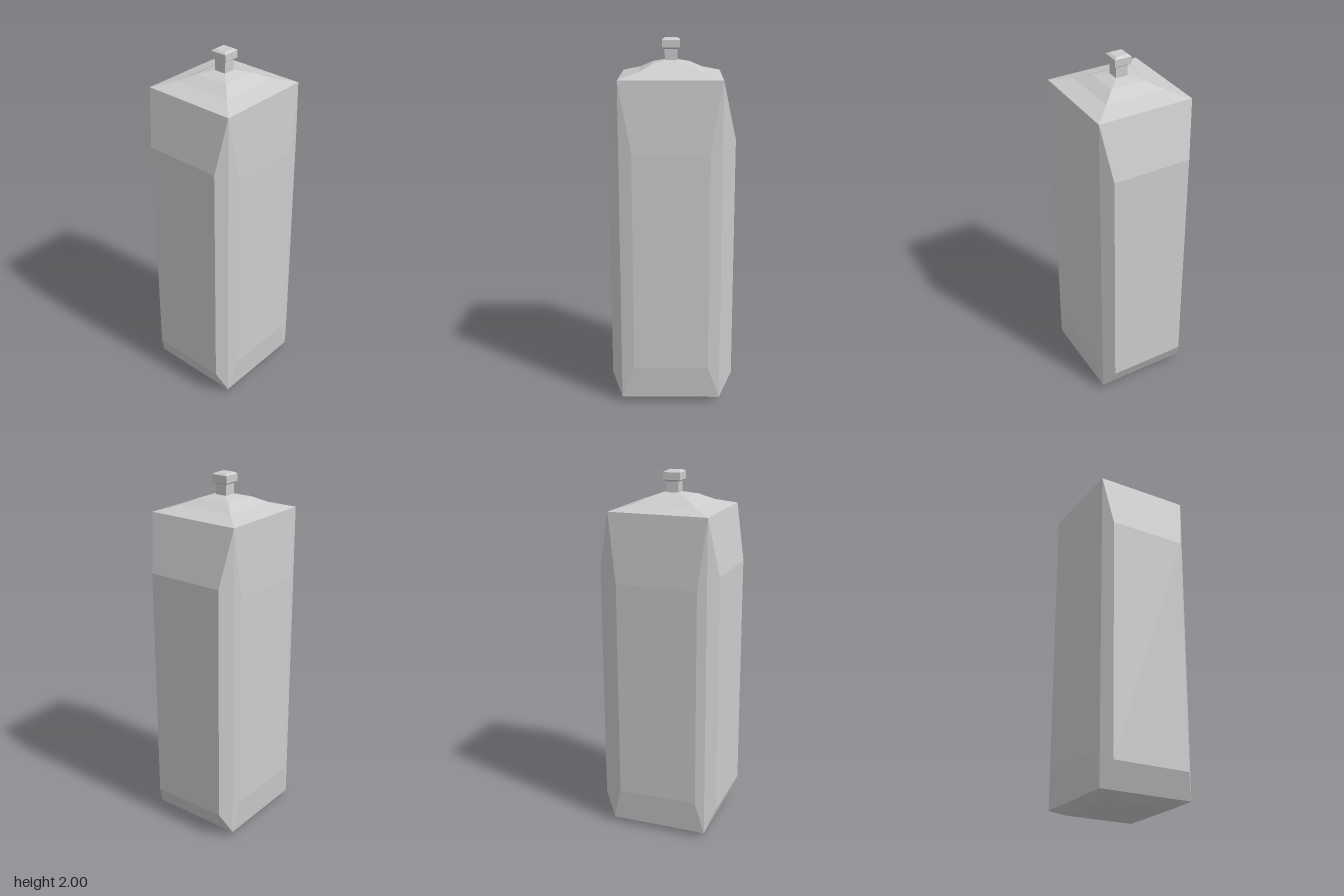
import * as THREE from 'three';

// Flat-shaded skin through a list of four-cornered loops; each quad faces outward
function skin(name, loops, material, { capFirst = false, capLast = false } = {}) {
  const pos = [];
  const quad = (a, b, c, d) => [a, b, c, a, c, d].forEach((p) => pos.push(...p));
  for (let k = 0; k + 1 < loops.length; k++) {
    const a = loops[k], b = loops[k + 1];
    for (let i = 0; i < 4; i++) {
      const j = (i + 1) % 4;
      quad(a[i], a[j], b[j], b[i]);
    }
  }
  if (capFirst) quad(...[...loops[0]].reverse());
  if (capLast) quad(...loops[loops.length - 1]);
  const geometry = new THREE.BufferGeometry();
  geometry.setAttribute('position', new THREE.Float32BufferAttribute(pos, 3));
  geometry.computeVertexNormals();
  const mesh = new THREE.Mesh(geometry, material);
  mesh.name = name;
  return mesh;
}

// Horizontal rectangle centred slightly off x = 0, like the whole upright core
const CX = -0.007;
const level = (y, hx, hz) => [
  [CX - hx, y, hz], [CX + hx, y, hz], [CX + hx, y, -hz], [CX - hx, y, -hz],
];

export function createModel() {
  const group = new THREE.Group();
  const grey = new THREE.MeshStandardMaterial({ color: 0xcccccc, flatShading: true });
  grey.name = 'lightGrey';

  const HX = 0.272, HZ = 0.265, Y0 = 0.03, Y1 = 1.805;

  // Walls: each rises from the box corners to a raised flat panel
  for (const s of [1, -1]) {
    const faceZ = (x0, x1, y0, y1, z) => {
      const p = [[x0, y0, z], [x1, y0, z], [x1, y1, z], [x0, y1, z]];
      return s > 0 ? p : p.reverse();
    };
    const px0 = s > 0 ? -0.21 : -0.23, px1 = s > 0 ? 0.2 : 0.22;
    group.add(skin(s > 0 ? 'frontWall' : 'backWall', [
      faceZ(CX - HX, CX + HX, Y0, Y1, s * HZ),
      faceZ(px0, px1, 0.215, 1.43, s * 0.28),
    ], grey, { capLast: true }));

    const faceX = (hz, y0, y1, x) => {
      const p = [[x, y0, hz], [x, y0, -hz], [x, y1, -hz], [x, y1, hz]];
      return s > 0 ? p : p.reverse();
    };
    group.add(skin(s > 0 ? 'leftWall' : 'rightWall', [
      faceX(HZ, Y0, Y1, CX + s * HX),
      faceX(0.22, 0.163, 1.497, s * 0.333),
    ], grey, { capLast: true }));
  }

  // Bevelled base
  group.add(skin('base', [level(0, 0.205, 0.2), level(Y0, HX, HZ)], grey, { capFirst: true }));

  // Stepped pyramid roof
  group.add(skin('roof', [
    level(Y1, HX, HZ), level(1.834, 0.169, 0.165),
    level(1.869, 0.1, 0.099), level(1.886, 0.033, 0.033),
  ], grey));

  // Square neck and bevelled cap
  group.add(skin('neck', [level(1.886, 0.033, 0.033), level(1.945, 0.033, 0.033)], grey));
  group.add(skin('cap', [
    level(1.943, 0.034, 0.034), level(1.952, 0.047, 0.047),
    level(1.991, 0.047, 0.047), level(2, 0.034, 0.034),
  ], grey, { capFirst: true, capLast: true }));

  return group;
}
